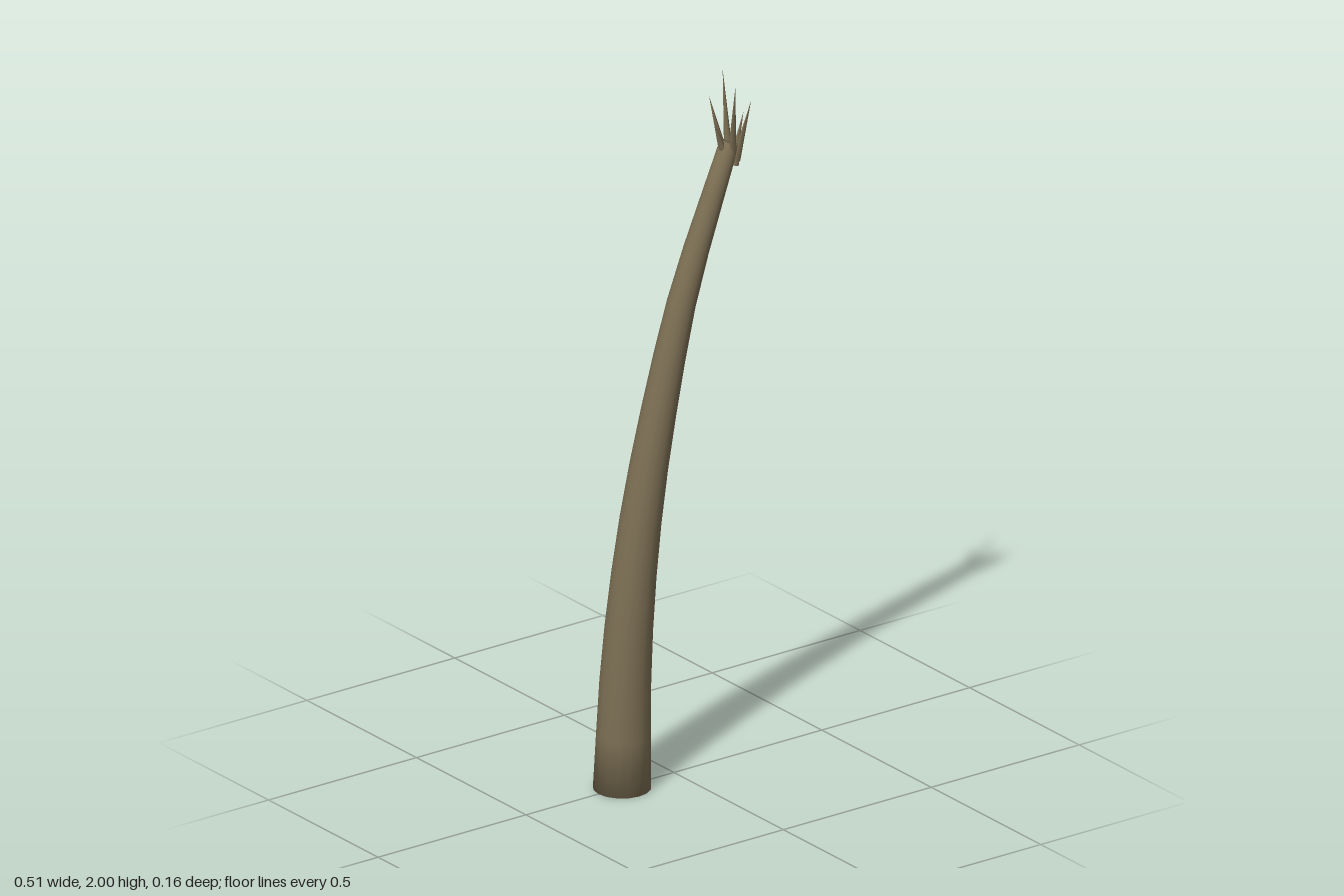
import * as THREE from 'three';

const bark = new THREE.MeshStandardMaterial({ color: 0x7a6d52 });
bark.name = 'bark';

// Tapered trunk: rings swept square to a bending path, closed at both ends
function trunkGeometry(sides = 16, rings = 12) {
  const path = new THREE.CatmullRomCurve3([
    [-0.175, 0], [-0.158, 0.4], [-0.108, 0.8], [-0.022, 1.2], [0.039, 1.42], [0.188, 1.81],
  ].map(([x, y]) => new THREE.Vector3(x, y, 0)));
  const pos = [], index = [];
  for (let i = 0; i <= rings; i++) {
    const t = i / rings;
    const c = path.getPointAt(t);
    const tan = i === 0 ? new THREE.Vector3(0, 1, 0) : path.getTangentAt(t);
    const r = THREE.MathUtils.lerp(0.08, 0.027, t);
    for (let j = 0; j < sides; j++) {
      const a = (j / sides) * Math.PI * 2;
      pos.push(c.x + tan.y * r * Math.cos(a), c.y - tan.x * r * Math.cos(a), r * Math.sin(a));
      if (i === rings) continue;
      const k = (j + 1) % sides, lo = i * sides, hi = lo + sides;
      index.push(lo + j, hi + j, lo + k, lo + k, hi + j, hi + k);
    }
  }
  // End caps share the rim vertices so the shading rolls over the edge
  const last = rings * sides;
  for (let j = 1; j < sides - 1; j++) {
    index.push(0, j, j + 1, last, last + j + 1, last + j);
  }
  const g = new THREE.BufferGeometry();
  g.setAttribute('position', new THREE.Float32BufferAttribute(pos, 3));
  g.setIndex(index);
  g.computeVertexNormals();
  return g;
}

// Slim pointed spike from a base point to its tip
function spike(base, tip, radius) {
  const a = new THREE.Vector3(...base), b = new THREE.Vector3(...tip);
  const dir = b.clone().sub(a);
  const mesh = new THREE.Mesh(new THREE.ConeGeometry(radius, dir.length(), 6), bark);
  mesh.position.copy(a).add(b).multiplyScalar(0.5);
  mesh.quaternion.setFromUnitVectors(new THREE.Vector3(0, 1, 0), dir.normalize());
  mesh.name = 'spike';
  return mesh;
}

export function createModel() {
  const group = new THREE.Group();
  group.name = 'bentTrunk';

  const trunk = new THREE.Mesh(trunkGeometry(), bark);
  trunk.name = 'trunk';
  group.add(trunk);

  // Crown of spikes: base, tip
  const crown = new THREE.Group();
  crown.name = 'crown';
  [
    [[0.195, 1.77, -0.014], [0.208, 2.0, -0.058]],
    [[0.185, 1.77, 0.014], [0.168, 2.0, 0.055]],
    [[0.180, 1.77, -0.014], [0.153, 1.94, -0.046]],
    [[0.200, 1.76, 0.014], [0.224, 1.94, 0.05]],
    [[0.168, 1.78, 0.004], [0.135, 1.88, 0.006]],
    [[0.203, 1.74, -0.007], [0.248, 1.88, -0.017]],
    [[0.203, 1.74, 0.002], [0.253, 1.88, 0.0]],
  ].forEach(([base, tip]) => crown.add(spike(base, tip, 0.012)));
  group.add(crown);

  return group;
}
